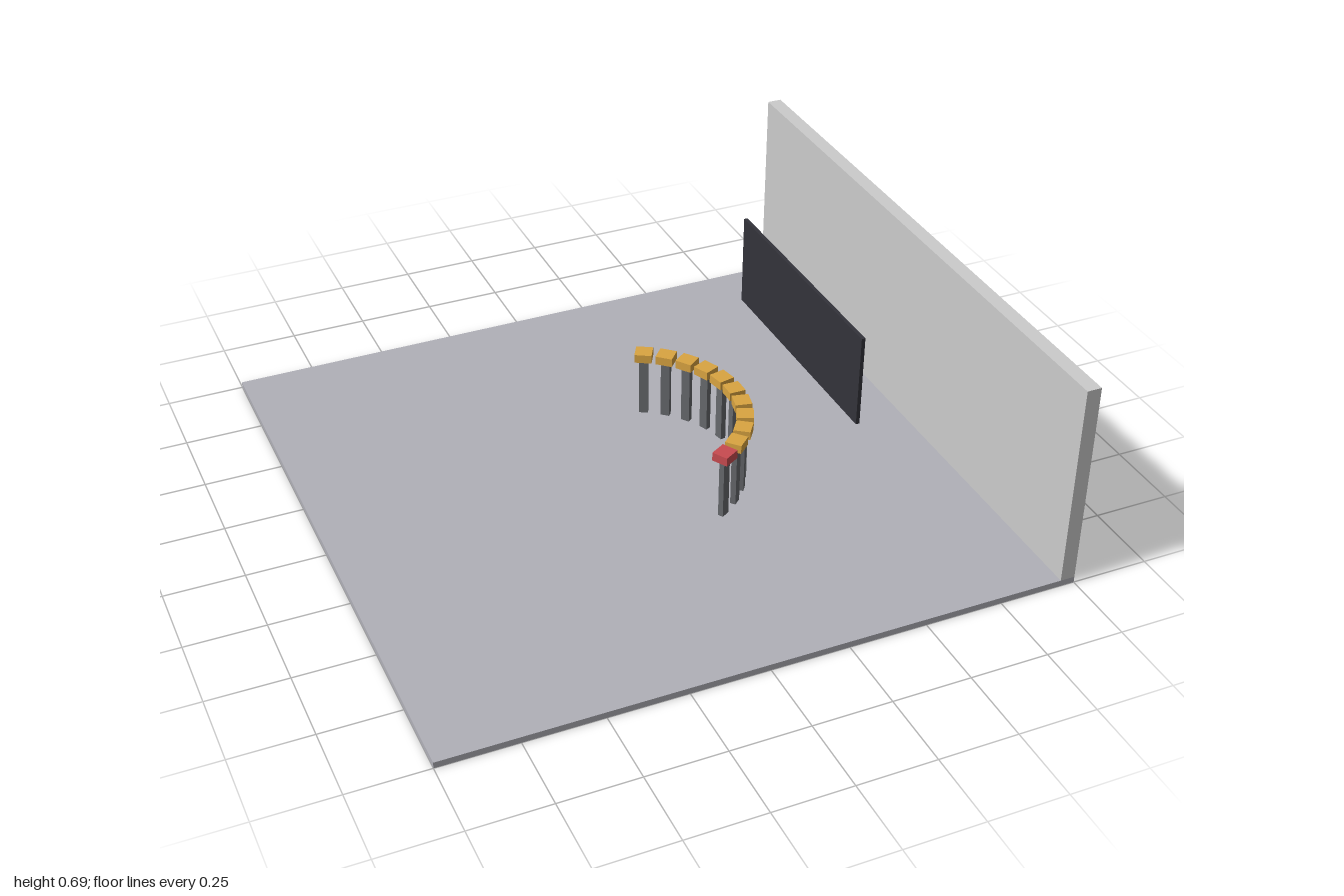
import * as THREE from 'three';

const material = (color) => new THREE.MeshStandardMaterial({ color });

function box(name, size, position, mat) {
  const mesh = new THREE.Mesh(new THREE.BoxGeometry(...size), mat);
  mesh.name = name;
  mesh.position.set(...position);
  return mesh;
}

export function createModel() {
  const model = new THREE.Group();
  model.name = 'presentationRoom';

  const floorMat = material(0xb0b0b8);
  const wallMat = material(0xcccccc);
  const screenMat = material(0x33333a);
  const legMat = material(0x66686c);
  const seatMat = material(0xd9a441);
  const redMat = material(0xc84b50);

  const floorTop = 0.02;
  const wallTop = 0.69;

  // Floor slab, wall along one edge and the thin screen hanging before it
  model.add(box('floor', [2, floorTop, 2], [0, floorTop / 2, 0], floorMat));
  model.add(box('wall', [0.047, wallTop - floorTop, 2], [0.9765, (wallTop + floorTop) / 2, 0], wallMat));
  model.add(box('screen', [0.012, 0.305, 0.8], [0.578, 0.4575, 0], screenMat));

  // Eleven stools on an arc, 12 degrees apart; the last one is red
  const count = 11;
  const radius = 0.355;
  const seatBottom = 0.225;
  const seatTop = 0.254;
  for (let i = 0; i < count; i++) {
    const angle = THREE.MathUtils.degToRad(-60 + i * 12);
    const stool = new THREE.Group();
    stool.name = `stool${i + 1}`;
    stool.position.set(radius * Math.cos(angle), 0, radius * Math.sin(angle));
    stool.rotation.y = -angle;
    stool.add(box('leg', [0.018, seatBottom - floorTop, 0.03], [0, (seatBottom + floorTop) / 2, 0], legMat));
    stool.add(box('seat', [0.054, seatTop - seatBottom, 0.056], [0, (seatTop + seatBottom) / 2, 0],
      i === count - 1 ? redMat : seatMat));
    model.add(stool);
  }

  return model;
}
